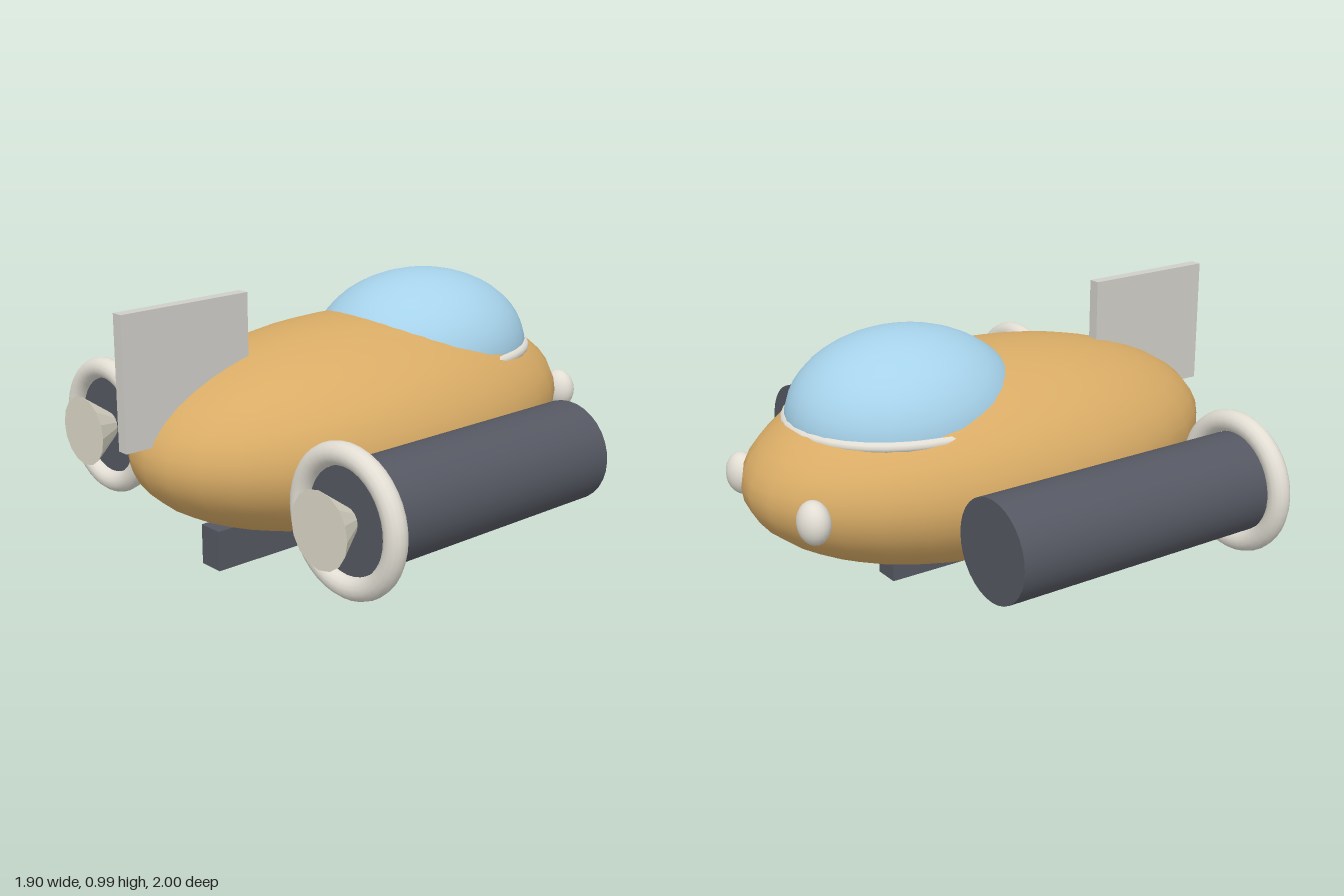
import * as THREE from 'three';

export function createModel() {
  const model = new THREE.Group();
  const mat = (color, extra = {}) => new THREE.MeshStandardMaterial({ color, ...extra });
  const tan = mat(0xd9ac66);
  const glass = mat(0xa6d2ea);
  const dark = mat(0x555862);
  const pale = mat(0xe2ded4);
  const finGrey = mat(0xcfcec8);
  const nozzleMat = mat(0xdcd8c8, { flatShading: true });

  const add = (name, geometry, material, x, y, z, parent = model) => {
    const mesh = new THREE.Mesh(geometry, material);
    mesh.name = name;
    mesh.position.set(x, y, z);
    parent.add(mesh);
    return mesh;
  };
  const ellipsoid = (rx, ry, rz, w = 32, h = 24) =>
    new THREE.SphereGeometry(1, w, h).scale(rx, ry, rz);

  // Hull and canopy with its rim
  add('body', ellipsoid(0.55, 0.38, 0.96), tan, 0, 0.44, -0.04);
  add('canopy', ellipsoid(0.38, 0.3, 0.44), glass, 0, 0.645, -0.38);
  const rim = new THREE.TorusGeometry(0.38, 0.02, 10, 40).rotateX(Math.PI / 2).scale(1, 1, 1.13);
  add('canopyRim', rim, pale, 0, 0.645, -0.38);

  // Upright tail fin and belly skid
  add('tailFin', new THREE.BoxGeometry(0.044, 0.475, 0.52), finGrey, 0, 0.7475, 0.74);
  add('skid', new THREE.BoxGeometry(0.1, 0.15, 1.12), dark, 0, 0.075, 0.09);

  // Mirrored engines and nose lamps
  for (const [side, s] of [['left', 1], ['right', -1]]) {
    const engine = new THREE.Group();
    engine.name = side + 'Engine';
    engine.position.set(s * 0.685, 0.365, 0);
    model.add(engine);

    const barrel = new THREE.CylinderGeometry(0.185, 0.185, 1.08, 32).rotateX(Math.PI / 2);
    add('engineBarrel', barrel, dark, 0, 0, 0.07, engine);
    add('engineRing', new THREE.TorusGeometry(0.225, 0.04, 14, 40), pale, 0, 0, 0.61, engine);
    const nozzle = new THREE.CylinderGeometry(0.135, 0.05, 0.12, 16).rotateX(Math.PI / 2);
    add('nozzle', nozzle, nozzleMat, 0, 0, 0.67, engine);

    add(side + 'Lamp', ellipsoid(0.07, 0.078, 0.056, 20, 14), pale, s * 0.27, 0.425, -0.9);
  }
  return model;
}
